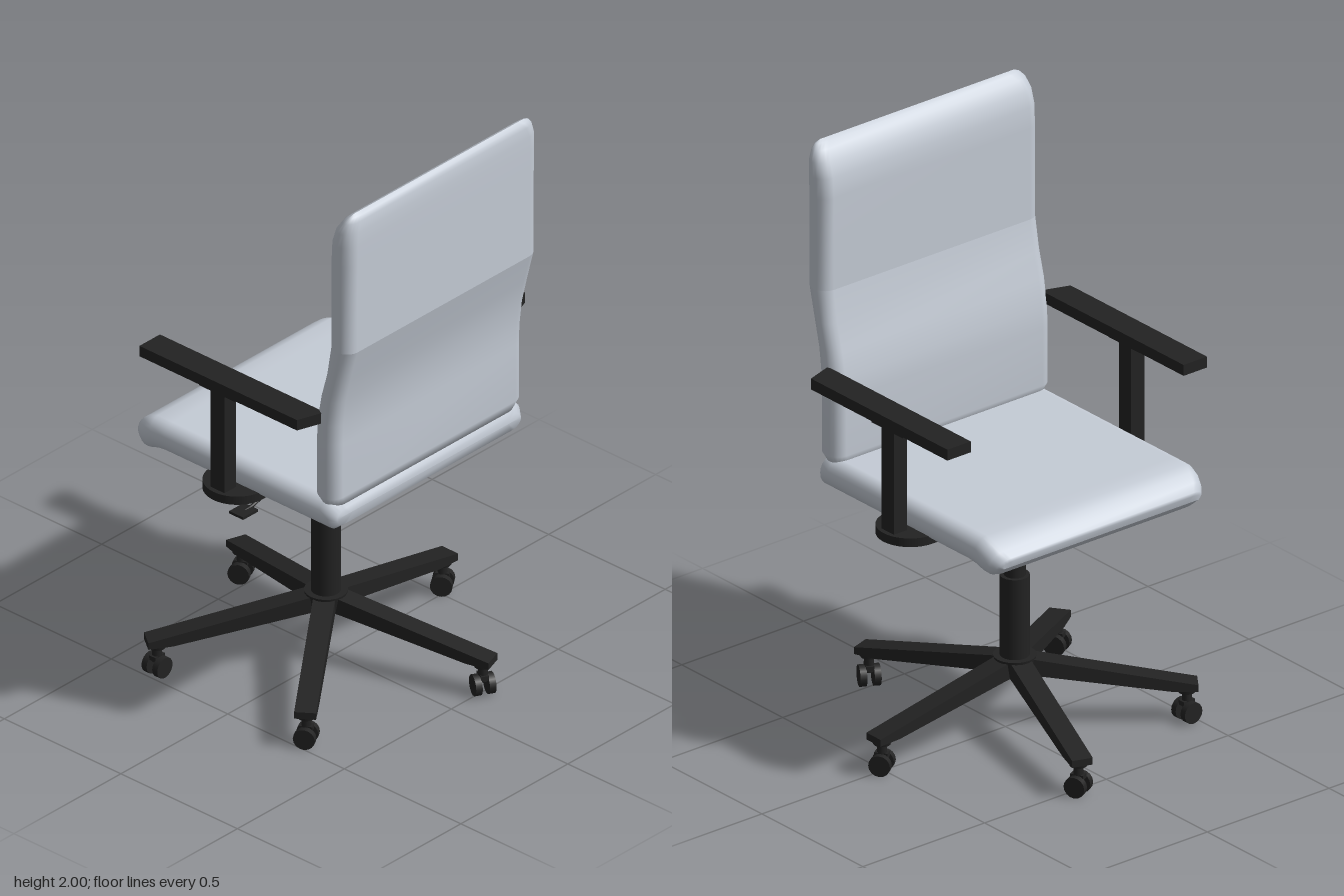
import * as THREE from 'three';

const fabric = new THREE.MeshStandardMaterial({ color: 0xc5ccd6 });
fabric.name = 'paleGreyFabric';
const black = new THREE.MeshStandardMaterial({ color: 0x222222 });
black.name = 'blackPlastic';

const CX = -0.01, CZ = 0.03; // axis of the column

function add(parent, name, geometry, material, x = 0, y = 0, z = 0) {
  const mesh = new THREE.Mesh(geometry, material);
  mesh.name = name;
  mesh.position.set(x, y, z);
  parent.add(mesh);
  return mesh;
}

// Cushion lofted through stations [ax, ay, bx, by, inset]: a and b are the
// opposite faces, the inset narrows the width, and the sides are half-round.
function cushion(stations, halfWidth, zc) {
  const n = 10, side = 0.045, ring = 2 * (n + 1), pos = [], index = [];
  stations.forEach(([ax, ay, bx, by, inset]) => {
    for (const s of [1, -1]) {
      for (let i = 0; i <= n; i++) {
        const t = (Math.PI * i) / n, c = s * Math.cos(t);
        pos.push(
          (ax + bx) / 2 + ((ax - bx) / 2) * c,
          (ay + by) / 2 + ((ay - by) / 2) * c,
          zc + s * (halfWidth - inset - side + side * Math.sin(t)));
      }
    }
  });
  for (let j = 0; j < stations.length - 1; j++) {
    for (let i = 0; i < ring; i++) {
      const a = j * ring + i, b = j * ring + ((i + 1) % ring);
      index.push(a, a + ring, b, b, a + ring, b + ring);
    }
  }
  const g = new THREE.BufferGeometry();
  g.setAttribute('position', new THREE.Float32BufferAttribute(pos, 3));
  g.setIndex(index);
  g.computeVertexNormals();
  return g;
}

function extrude(points, depth) {
  const shape = new THREE.Shape(points.map(([x, y]) => new THREE.Vector2(x, y)));
  return new THREE.ExtrudeGeometry(shape, { depth, bevelEnabled: false });
}

function makeCaster(yaw) {
  const g = new THREE.Group();
  g.name = 'caster';
  add(g, 'casterStem', new THREE.CylinderGeometry(0.016, 0.016, 0.08, 12), black, 0, 0.09, 0);
  add(g, 'casterCollar', new THREE.CylinderGeometry(0.033, 0.028, 0.02, 12), black, 0, 0.112, 0);
  add(g, 'casterHood', new THREE.BoxGeometry(0.045, 0.016, 0.026), black, 0, 0.066, 0);
  for (const s of [1, -1]) {
    const wheel = new THREE.CylinderGeometry(0.036, 0.036, 0.022, 16).rotateX(Math.PI / 2);
    add(g, 'casterWheel', wheel, black, 0, 0.036, s * 0.023);
  }
  g.rotation.y = yaw;
  return g;
}

export function createModel() {
  const model = new THREE.Group();
  model.name = 'officeChair';

  // Seat, from the rear edge to the turned-down front lip
  add(model, 'seat', cushion([
    [0.43, 0.87, 0.43, 0.87, 0.05],
    [0.428, 0.895, 0.428, 0.838, 0.02],
    [0.405, 0.92, 0.405, 0.82, 0],
    [0.37, 0.922, 0.37, 0.82, 0],
    [-0.3, 0.922, -0.31, 0.82, 0],
    [-0.365, 0.922, -0.345, 0.815, 0],
    [-0.4, 0.908, -0.375, 0.802, 0.004],
    [-0.43, 0.885, -0.395, 0.794, 0.014],
    [-0.452, 0.865, -0.41, 0.797, 0.03],
    [-0.453, 0.853, -0.43, 0.815, 0.04],
    [-0.445, 0.83, -0.445, 0.83, 0.05],
  ], 0.45, 0.025), fabric);

  // Backrest, from the seat up; the doubled station makes the crease
  add(model, 'backrest', cushion([
    [0.38, 0.895, 0.38, 0.895, 0.05],
    [0.42, 0.905, 0.342, 0.905, 0.02],
    [0.43, 0.94, 0.334, 0.94, 0],
    [0.43, 1.14, 0.334, 1.14, 0],
    [0.432, 1.21, 0.338, 1.21, 0],
    [0.442, 1.3, 0.354, 1.3, 0],
    [0.463, 1.39, 0.379, 1.39, 0],
    [0.492, 1.5, 0.396, 1.5, 0],
    [0.492, 1.5, 0.396, 1.5, 0],
    [0.494, 1.82, 0.396, 1.82, 0],
    [0.494, 1.89, 0.4, 1.89, 0],
    [0.494, 1.94, 0.416, 1.94, 0.002],
    [0.49, 1.975, 0.438, 1.975, 0.014],
    [0.484, 1.992, 0.456, 1.992, 0.03],
    [0.471, 2.0, 0.471, 2.0, 0.05],
  ], 0.448, 0.027), fabric);

  // Round-ended crossbar under the seat that carries both armrests
  const bar = new THREE.Shape();
  bar.absarc(0, 0.422, 0.11, 0, Math.PI, false);
  bar.absarc(0, -0.422, 0.11, Math.PI, 2 * Math.PI, false);
  const barGeo = new THREE.ExtrudeGeometry(bar, { depth: 0.03, bevelEnabled: false, curveSegments: 20 });
  add(model, 'armrestCrossbar', barGeo.rotateX(-Math.PI / 2), black, CX, 0.808, 0.023);
  add(model, 'tiltMechanism', new THREE.BoxGeometry(0.2, 0.035, 0.235), black, CX, 0.795, CZ);

  // Armrests
  for (const s of [1, -1]) {
    const arm = new THREE.Group();
    arm.name = s > 0 ? 'leftArmrest' : 'rightArmrest';
    const inner = 0.437, outer = 0.533;
    const pts = [[-0.328, s * inner], [0.38, s * inner], [0.348, s * outer], [-0.328, s * outer]];
    // Shape y becomes z after this turn
    const pad = extrude(pts, 0.038).rotateX(Math.PI / 2);
    add(arm, 'armPad', pad, black, 0, 1.248, 0);
    add(arm, 'armPadPlate', new THREE.BoxGeometry(0.155, 0.018, 0.06), black, CX, 1.203, s * 0.487);
    add(arm, 'armPost', new THREE.BoxGeometry(0.06, 0.39, 0.055), black, CX, 1.015, s * 0.487);
    arm.position.z = 0.023;
    model.add(arm);
  }

  // Height lever
  const path = new THREE.CatmullRomCurve3([
    new THREE.Vector3(CX, 0.795, 0.12), new THREE.Vector3(CX, 0.75, 0.25),
    new THREE.Vector3(CX, 0.707, 0.38), new THREE.Vector3(CX, 0.705, 0.41)]);
  add(model, 'leverRod', new THREE.TubeGeometry(path, 16, 0.006, 8), black);
  add(model, 'leverPaddle', new THREE.BoxGeometry(0.06, 0.009, 0.07), black, CX, 0.705, 0.415);

  // Column
  add(model, 'upperColumn', new THREE.CylinderGeometry(0.035, 0.035, 0.3, 24), black, CX, 0.65, CZ);
  add(model, 'lowerColumn', new THREE.CylinderGeometry(0.048, 0.048, 0.32, 24), black, CX, 0.37, CZ);
  add(model, 'baseHub', new THREE.CylinderGeometry(0.07, 0.06, 0.06, 20), black, CX, 0.22, CZ);

  // Five-legged base with casters
  const profile = [[0.02, 0.19], [0.06, 0.187], [0.5, 0.117], [0.58, 0.114], [0.58, 0.138], [0.05, 0.245], [0.02, 0.245]];
  const yaws = [0.6, 0.45, 1.57, 0.5, -0.5];
  for (let i = 0; i < 5; i++) {
    const angle = Math.PI / 2 + (i * 2 * Math.PI) / 5;
    const leg = new THREE.Group();
    leg.name = 'baseLeg';
    add(leg, 'legBeam', extrude(profile, 0.07), black, 0, 0, -0.035);
    const caster = makeCaster(yaws[i] - angle);
    caster.position.x = 0.545;
    leg.add(caster);
    leg.rotation.y = angle;
    leg.position.set(CX, 0, CZ);
    model.add(leg);
  }
  return model;
}
